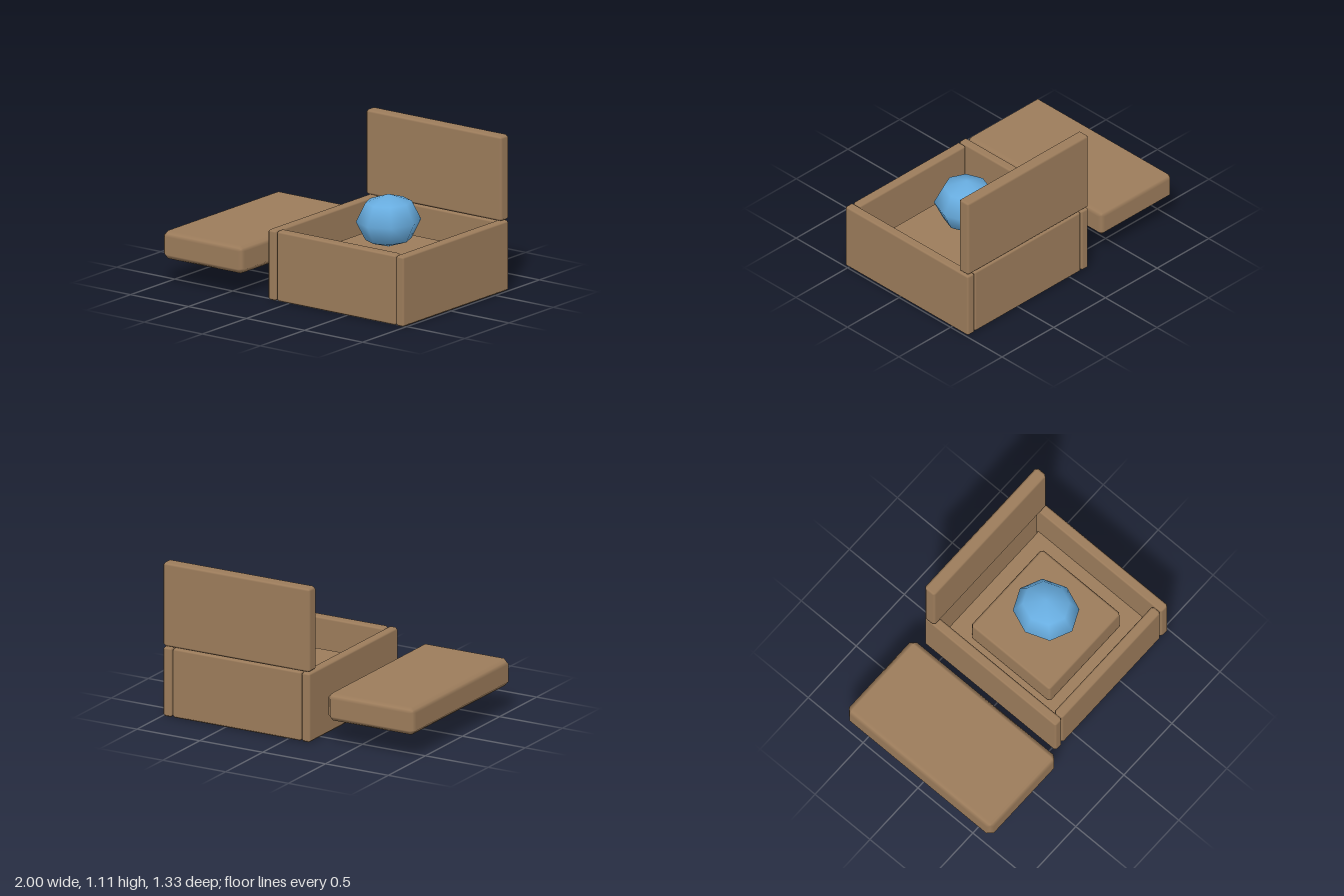
import * as THREE from 'three';

const wood = new THREE.MeshStandardMaterial({ color: 0x9c7c5b });
wood.name = 'brown wood';
const blue = new THREE.MeshStandardMaterial({ color: 0x68ade0 });
blue.name = 'sky blue';

// Box with one softly shaded chamfer along every edge, given by its bounds
function chamferBox(name, [x0, x1], [y0, y1], [z0, z1], bevel) {
  const half = new THREE.Vector3(x1 - x0, y1 - y0, z1 - z0).multiplyScalar(0.5);
  const geo = new THREE.BoxGeometry(1, 1, 1, 3, 3, 3);
  const pos = geo.attributes.position;
  const p = new THREE.Vector3();
  const dir = new THREE.Vector3();
  const outer = (v) => (Math.abs(v) > 0.4 ? Math.sign(v) : 0);
  for (let i = 0; i < pos.count; i++) {
    p.fromBufferAttribute(pos, i);
    dir.set(outer(p.x), outer(p.y), outer(p.z));
    const push = bevel / (Math.abs(dir.x) + Math.abs(dir.y) + Math.abs(dir.z));
    pos.setXYZ(
      i,
      Math.sign(p.x) * (half.x - bevel) + dir.x * push,
      Math.sign(p.y) * (half.y - bevel) + dir.y * push,
      Math.sign(p.z) * (half.z - bevel) + dir.z * push
    );
    dir.normalize();
    geo.attributes.normal.setXYZ(i, dir.x, dir.y, dir.z);
  }
  const mesh = new THREE.Mesh(geo, wood);
  mesh.name = name;
  mesh.position.set((x0 + x1) / 2, (y0 + y1) / 2, (z0 + z1) / 2);
  return mesh;
}

export function createModel() {
  const model = new THREE.Group();
  model.name = 'openBoxWithBall';

  // Loose slab beside the box
  model.add(chamferBox('sideSlab', [-1, -0.3], [0.18, 0.38], [-0.66, 0.66], 0.037));

  // Open box: side walls run full depth, end walls sit between them
  const box = new THREE.Group();
  box.name = 'box';
  const b = 0.015;
  box.add(
    chamferBox('rightWall', [-0.177, -0.105], [0, 0.5], [-0.665, 0.533], b),
    chamferBox('leftWall', [0.924, 0.997], [0, 0.5], [-0.665, 0.533], b),
    chamferBox('frontWall', [-0.105, 0.924], [0, 0.5], [0.453, 0.53], b),
    chamferBox('backWall', [-0.105, 0.924], [0, 0.5], [-0.662, -0.585], b),
    chamferBox('floor', [-0.11, 0.93], [0.015, 0.1], [-0.59, 0.46], 0.005)
  );
  model.add(box);

  // Lid standing upright on the back edge
  model.add(chamferBox('lid', [-0.177, 0.997], [0.505, 1.11], [-0.667, -0.572], 0.018));

  // Raised pad inside the box
  model.add(chamferBox('pad', [0.038, 0.782], [0.095, 0.34], [-0.43, 0.29], 0.018));

  // Coarse, slightly flattened ball resting on the pad
  const ball = new THREE.Mesh(new THREE.SphereGeometry(1, 8, 4), blue);
  ball.name = 'ball';
  ball.scale.set(0.217, 0.187, 0.238);
  ball.position.set(0.41, 0.532, -0.067);
  model.add(ball);

  return model;
}
